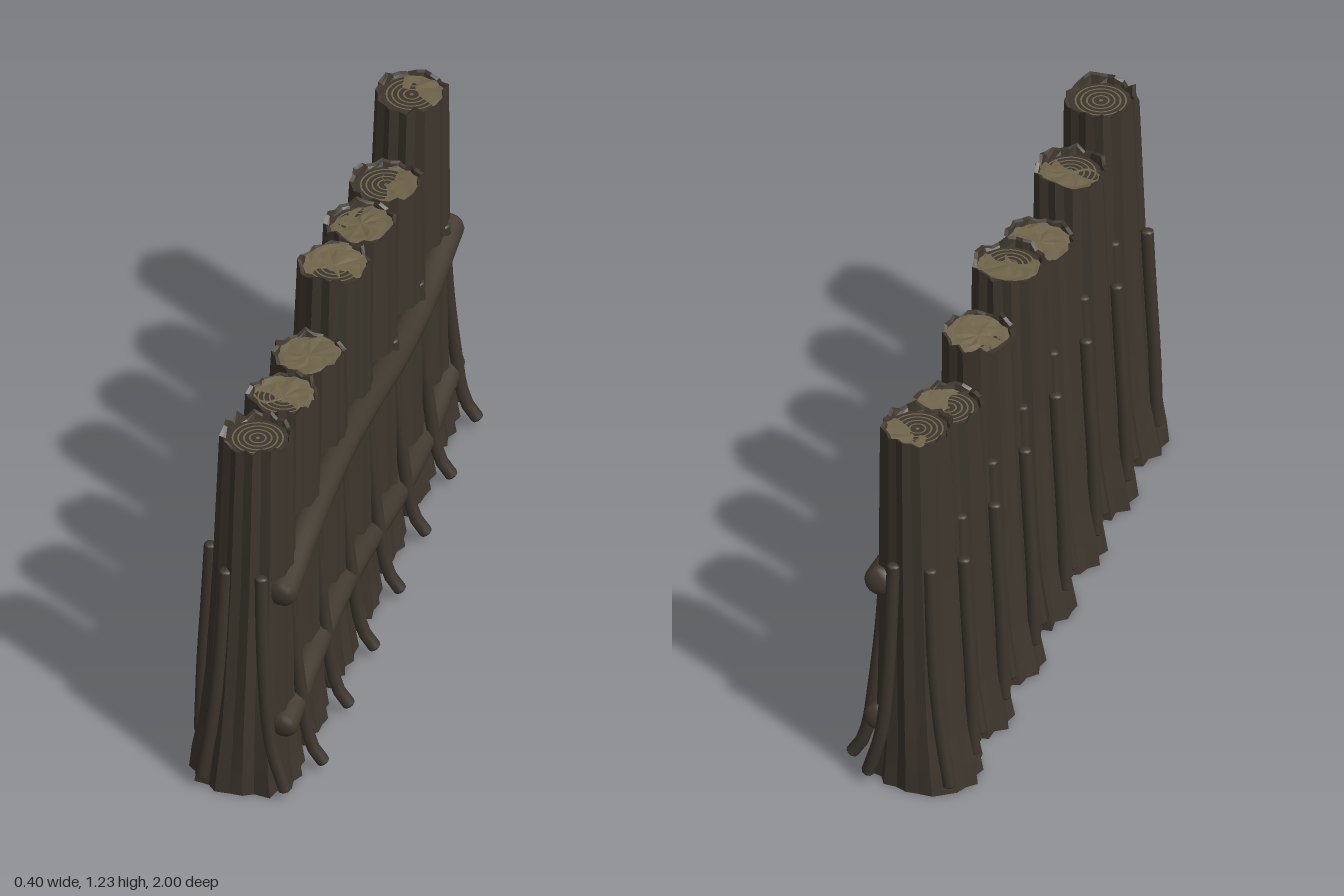
import * as THREE from 'three';

const mat = (name, color) => {
  const m = new THREE.MeshStandardMaterial({ color });
  m.name = name;
  return m;
};

// Small seeded random generator
function seeded(seed) {
  let s = seed;
  return () => ((s = (s * 16807) % 2147483647) / 2147483647);
}

// Skin a stack of closed cross-sections (rows run bottom to top), with flat faces
function skin(rows) {
  const n = rows[0].length, pos = [], idx = [];
  rows.forEach(row => row.forEach(p => pos.push(...p)));
  for (let i = 0; i < rows.length - 1; i++) {
    for (let j = 0; j < n; j++) {
      const a = i * n + j, b = i * n + (j + 1) % n;
      idx.push(a, a + n, b, b, a + n, b + n);
    }
  }
  const g = new THREE.BufferGeometry();
  g.setAttribute('position', new THREE.Float32BufferAttribute(pos, 3));
  g.setIndex(idx);
  const flat = g.toNonIndexed();
  flat.computeVertexNormals();
  return flat;
}

// Ridged log with a foot that flares to the back, ragged rim and sunken top
function logGeometry(height, rand) {
  const n = 26;
  const ridge = Array.from({ length: n }, (_, j) => (j % 2 ? 0.96 : 1.03) + (rand() - 0.5) * 0.07);
  const jag = ridge.map(() => (rand() - 0.6) * 0.026);
  const section = (y, rx, rz, cx, top = 0, rough = 1) => ridge.map((f, j) => {
    const a = (j / n) * Math.PI * 2, k = 1 + (f - 1) * rough;
    const z = THREE.MathUtils.clamp(Math.sin(a) * rz * k, -0.14, 0.14);
    return [Math.max(-0.2, cx + Math.cos(a) * rx * k), y + jag[j] * top, z];
  });
  return skin([
    section(0, 0, 0, -0.03),
    section(0, 0.165, 0.148, -0.034, 0, 1.6),
    section(0.08, 0.151, 0.144, -0.032, 0, 1.5),
    section(0.18, 0.137, 0.139, -0.028, 0, 1.3),
    section(0.36, 0.127, 0.131, -0.022),
    section(0.54, 0.122, 0.123, -0.017),
    section(0.72, 0.117, 0.116, -0.012),
    section(height, 0.106, 0.105, -0.004, 1),
    section(height - 0.004, 0.095, 0.095, -0.004, 1),
    section(height - 0.022, 0.09, 0.09, -0.004, 0, 0.5),
    section(height - 0.022, 0, 0, -0.004)
  ]);
}

// Uneven slab of bare wood, leaning so that it breaks through the top in patches
function splinterGeometry(lift, tiltX, tiltZ, rand) {
  const n = 18;
  const rows = [0.096, 0.075, 0.045, 0].map(r => Array.from({ length: n }, (_, j) => {
    const a = (j / n) * Math.PI * 2, x = Math.cos(a) * r, z = Math.sin(a) * r;
    const noise = r ? (rand() - 0.5) * 0.007 : 0;
    return [x, lift + x * tiltX + z * tiltZ + noise, z];
  }));
  return skin(rows);
}

// Round branch along a smooth curve, with blunt rounded ends
function branch(name, points, radius, sides, steps, material) {
  const group = new THREE.Group();
  group.name = name;
  const curve = new THREE.CatmullRomCurve3(points.map(p => new THREE.Vector3(...p)));
  group.add(new THREE.Mesh(new THREE.TubeGeometry(curve, steps, radius, sides), material));
  const cap = new THREE.SphereGeometry(radius, sides, 6);
  cap.scale(1, 0.5, 1);
  const up = new THREE.Vector3(0, 1, 0);
  for (const t of [0, 1]) {
    const end = new THREE.Mesh(cap, material);
    end.position.copy(curve.getPoint(t));
    end.quaternion.setFromUnitVectors(up, curve.getTangent(t));
    group.add(end);
  }
  group.children.forEach((m, i) => { m.name = i ? name + 'End' : name + 'Stem'; });
  return group;
}

export function createModel() {
  const model = new THREE.Group();
  model.name = 'palisade';
  const bark = mat('bark', 0x3d362d);
  const railWood = mat('railWood', 0x423a30);
  const vineWood = mat('vineWood', 0x3d362d);
  const cutWood = mat('cutWood', 0x70654b);

  // Logs from front to back: height, then lift and lean of the bare wood
  const logs = [
    [1.215, -0.012, 0.0, -0.05],
    [1.155, -0.001, 0.03, -0.1],
    [1.095, 0.004, 0.05, 0.0],
    [1.215, 0.0, 0.0, -0.1],
    [1.155, 0.003, 0.1, 0.03],
    [1.095, -0.003, 0.13, 0.0],
    [1.215, -0.006, 0.08, -0.09]
  ];

  // Vines on one side of a log; the z values are mirrored for the other side
  const sideVines = [
    [[0.035, 0.77, 0.108], [0.045, 0.45, 0.118], [0.068, 0.18, 0.12], [0.108, 0.035, 0.12]],
    [[-0.075, 0.77, 0.1], [-0.09, 0.45, 0.114], [-0.115, 0.2, 0.119], [-0.14, 0.04, 0.12]]
  ];
  const frontVine = [[0.092, 0.74, 0], [0.1, 0.5, -0.015], [0.118, 0.28, -0.03],
    [0.137, 0.13, -0.035], [0.157, 0.07, -0.037], [0.181, 0.035, -0.04]];
  const backVine = [[-0.15, 0.77, -0.015], [-0.161, 0.55, -0.015], [-0.172, 0.35, -0.015], [-0.18, 0.1, -0.015]];

  logs.forEach(([height, lift, tiltX, tiltZ], i) => {
    const rand = seeded(101 + i * 977);
    const post = new THREE.Group();
    post.name = 'post';
    post.position.z = 0.86 - i * 0.2867;

    const trunk = new THREE.Mesh(logGeometry(height, rand), bark);
    trunk.name = 'trunk';
    post.add(trunk);

    // Growth rings and bare wood on the cut top
    const top = new THREE.Group();
    top.name = 'cutTop';
    top.position.set(-0.004, height - 0.019, 0);
    for (const r of [0.004, 0.024, 0.041, 0.058, 0.074]) {
      const ring = new THREE.Mesh(new THREE.RingGeometry(r - 0.003, r + 0.002, 28), cutWood);
      ring.name = 'growthRing';
      ring.rotation.x = -Math.PI / 2;
      top.add(ring);
    }
    const splinters = new THREE.Mesh(splinterGeometry(lift, tiltX, tiltZ, rand), cutWood);
    splinters.name = 'bareWood';
    top.add(splinters);
    post.add(top);

    // Vines climbing the log
    const paths = [frontVine, backVine];
    for (const path of sideVines) {
      for (const s of [1, -1]) paths.push(path.map(([x, y, z]) => [x, y, z * s]));
    }
    paths.forEach(path => post.add(branch('vine', path, 0.02, 8, 14, vineWood)));
    model.add(post);
  });

  // Two wavy rails tied across the front of the logs
  const rails = [
    ['upperRail', 0.088, [0.705, 0.757, 0.765, 0.725, 0.665, 0.645, 0.685], 0.046],
    ['lowerRail', 0.094, [0.23, 0.275, 0.283, 0.24, 0.18, 0.16, 0.2], 0.042]
  ];
  for (const [name, x, heights, radius] of rails) {
    const path = heights.map((y, k) => [x, y, 0.935 - k * 0.3117]);
    model.add(branch(name, path, radius, 14, 48, railWood));
  }
  return model;
}
